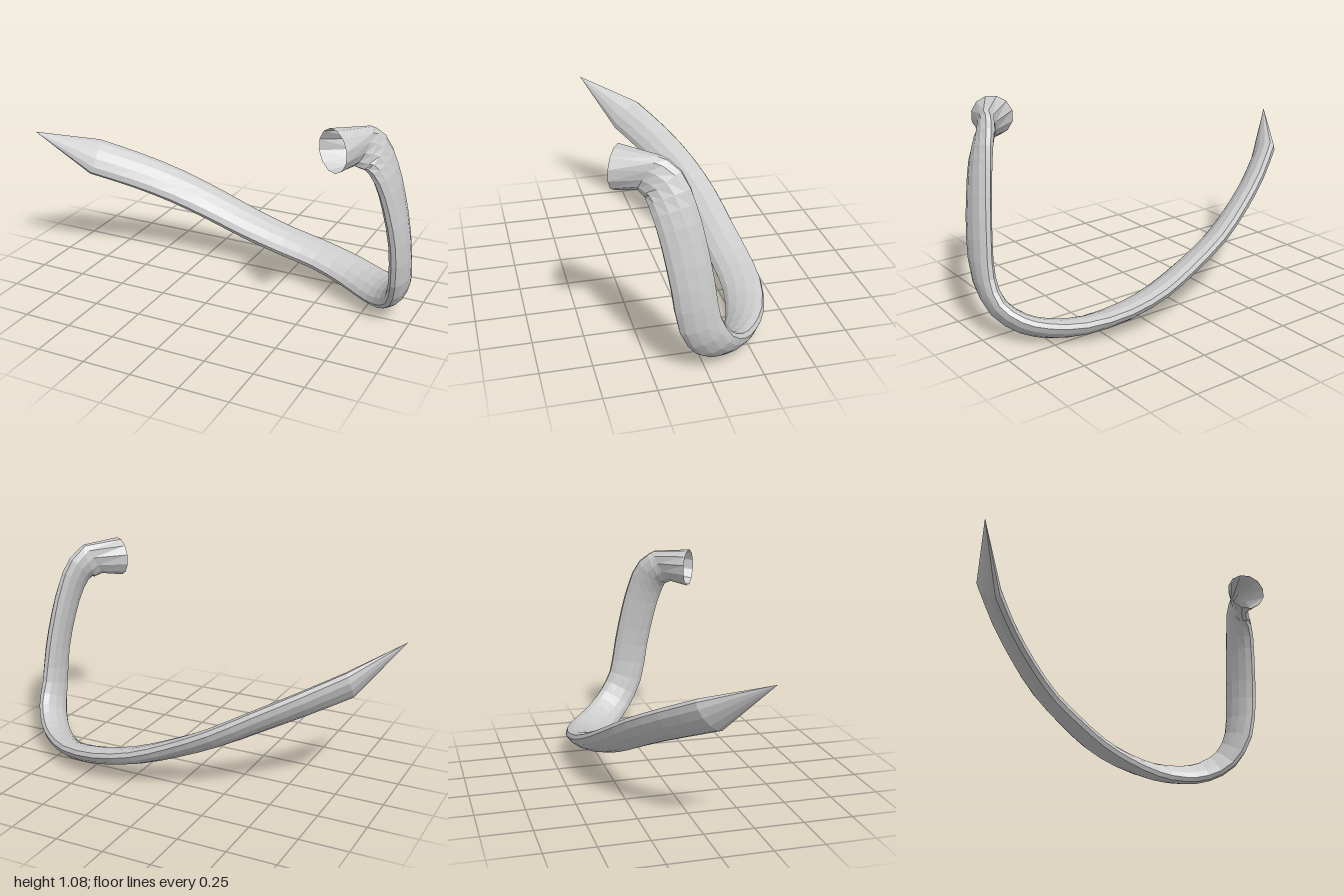
import * as THREE from 'three';

const SIDES = 12;
const V = (a) => new THREE.Vector3(a[0], a[1], a[2]);

// Stations along the arm: centre, then direction of the wide axis of the section
const STATIONS = [
  [-0.79, 0.605, 0.01, 0, 0.72, -0.7],
  [-0.6, 0.515, -0.11, 0, 0.66, -0.75],
  [-0.4, 0.42, -0.205, 0, 0.6, -0.8],
  [-0.2, 0.32, -0.27, 0, 0.52, -0.85],
  [0, 0.235, -0.3, 0, 0.45, -0.9],
  [0.2, 0.165, -0.325, 0, 0.38, -0.92],
  [0.4, 0.12, -0.328, 0.1, 0.36, -0.92],
  [0.6, 0.085, -0.28, 0.35, 0.42, -0.82],
  [0.74, 0.078, -0.2, 0.52, 0.52, -0.66],
  [0.84, 0.1, -0.12, 0.45, 0.6, -0.66],
  [0.92, 0.17, -0.03, 0.28, 0.58, -0.76],
  [0.95, 0.3, 0.045, 0.08, 0.36, -0.92],
  [0.945, 0.5, 0.08, 0, 0.18, -0.98],
  [0.915, 0.7, 0.115, 0.02, 0.25, -0.96],
  [0.88, 0.85, 0.15, 0.04, 0.42, -0.9],
  [0.835, 0.95, 0.185, 0.04, 0.75, -0.65],
  [0.79, 0.99, 0.235, 0, 1, -0.15],
];

// Elliptical ring around a centre, square to the tangent
function ring(centre, tangent, wideDir, wide, thin) {
  const t = tangent.clone().normalize();
  const b = wideDir.clone().addScaledVector(t, -wideDir.dot(t)).normalize();
  const n = new THREE.Vector3().crossVectors(t, b);
  return Array.from({ length: SIDES }, (_, j) => {
    const a = ((j + 0.5) / SIDES) * Math.PI * 2;
    return centre.clone()
      .addScaledVector(b, Math.cos(a) * wide)
      .addScaledVector(n, Math.sin(a) * thin);
  });
}

// Skin joining consecutive rings, open at both ends
function loft(name, rings, material) {
  const index = [];
  for (let i = 0; i < rings.length - 1; i++) {
    for (let j = 0; j < SIDES; j++) {
      const k = (j + 1) % SIDES;
      const a = i * SIDES + j, b = i * SIDES + k;
      index.push(a, b, a + SIDES, b, b + SIDES, a + SIDES);
    }
  }
  const geometry = new THREE.BufferGeometry().setFromPoints(rings.flat());
  geometry.setIndex(index);
  geometry.computeVertexNormals();
  const mesh = new THREE.Mesh(geometry, material);
  mesh.name = name;
  return mesh;
}

export function createModel() {
  const group = new THREE.Group();
  group.name = 'curvedHook';
  const material = new THREE.MeshStandardMaterial({
    color: 0xcccccc, flatShading: true, side: THREE.DoubleSide,
  });

  // Flattened arm swept along the curve
  const path = new THREE.CatmullRomCurve3(STATIONS.map(V));
  const wideAxis = new THREE.CatmullRomCurve3(STATIONS.map((s) => V(s.slice(3))));
  const steps = (STATIONS.length - 1) * 2;
  const arm = [];
  for (let i = 0; i <= steps; i++) {
    const t = i / steps;
    arm.push(ring(path.getPoint(t), path.getTangent(t), wideAxis.getPoint(t), 0.101, 0.046));
  }
  group.add(loft('arm', arm, material));

  // Pointed tip
  const apex = Array.from({ length: SIDES }, () => new THREE.Vector3(-1, 0.785, 0.24));
  group.add(loft('pointedTip', [apex, arm[0]], material));

  // Open round socket flaring out of the arm
  const mouth = ring(V([0.695, 0.99, 0.36]), V([-0.54, 0, 0.84]), V([0, 1, 0]), 0.103, 0.103);
  group.add(loft('socket', [arm[steps], mouth], material));

  return group;
}
